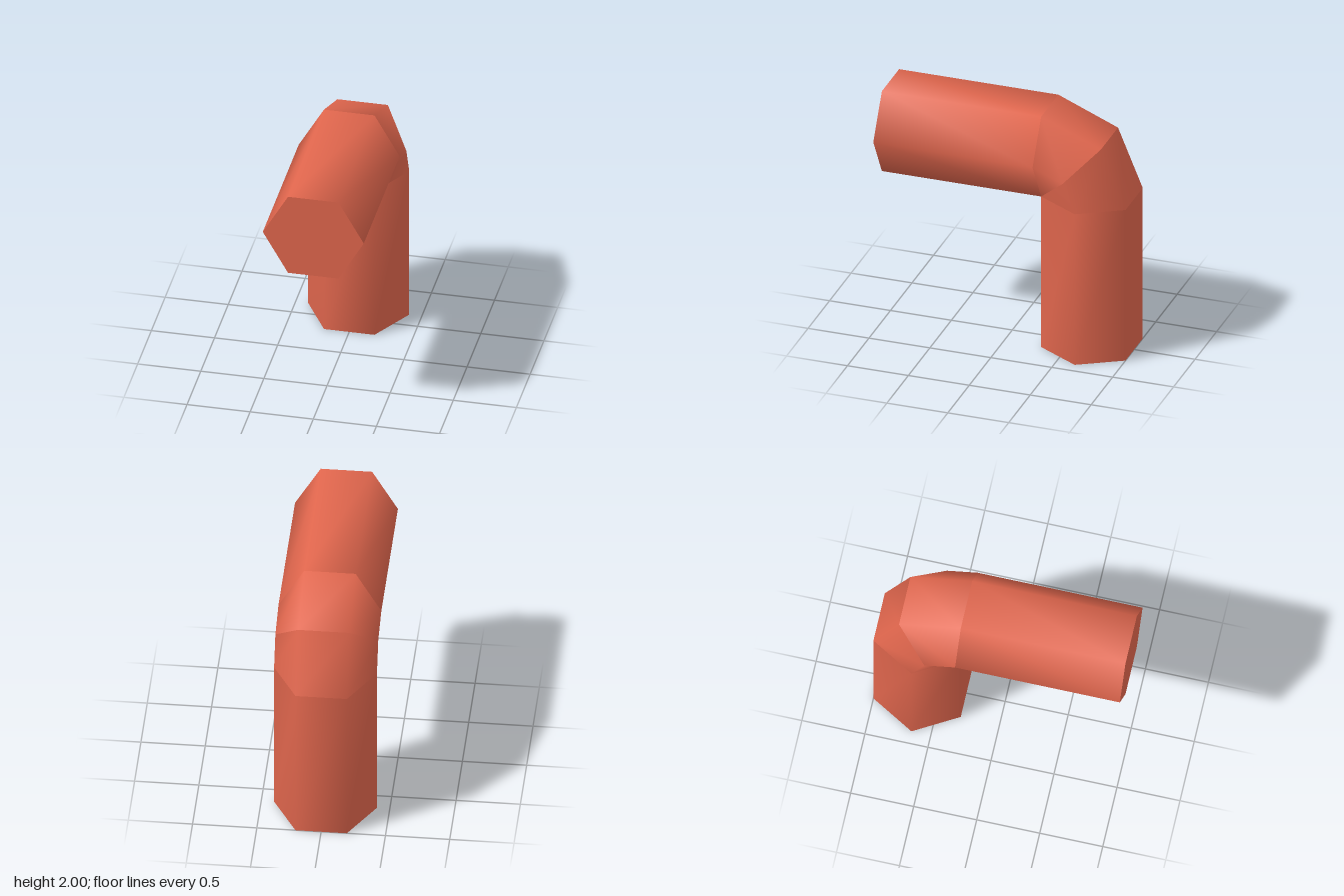
import * as THREE from 'three';

const SIDES = 6, R = 0.4, APOTHEM = R * Math.cos(Math.PI / SIDES);
const PIVOT = 2 - 2 * APOTHEM; // inner corner of the bend: y = PIVOT, z = 1 - PIVOT

// Hexagonal ring turned by angle t about the inner corner, moved by dy, dz
function ring(t, dy = 0, dz = 0) {
  return Array.from({ length: SIDES }, (_, k) => {
    const a = k * Math.PI * 2 / SIDES;
    const d = APOTHEM + R * Math.sin(a);
    return [R * Math.cos(a), PIVOT + d * Math.cos(t) + dy, 1 - PIVOT - d * Math.sin(t) + dz];
  });
}

// Open sleeve between two rings, smooth around its girth
function sleeve(from, to) {
  const index = [];
  for (let k = 0; k < SIDES; k++) {
    const n = (k + 1) % SIDES;
    index.push(k, k + SIDES, n, k + SIDES, n + SIDES, n);
  }
  const geo = new THREE.BufferGeometry();
  geo.setAttribute('position', new THREE.Float32BufferAttribute([...from, ...to].flat(), 3));
  geo.setIndex(index);
  geo.computeVertexNormals();
  return geo;
}

export function createModel() {
  const group = new THREE.Group();
  const material = new THREE.MeshStandardMaterial({ color: 0xe0664d });
  material.name = 'terracotta red';
  const add = (name, geo) => {
    const mesh = new THREE.Mesh(geo, material);
    mesh.name = name;
    group.add(mesh);
    return mesh;
  };

  // Straight arms and the two wedges of the elbow
  const front = ring(0), middle = ring(Math.PI / 4), lower = ring(Math.PI / 2);
  add('horizontalArm', sleeve(ring(0, 0, PIVOT), front));
  add('upperElbow', sleeve(front, middle));
  add('lowerElbow', sleeve(middle, lower));
  add('verticalArm', sleeve(lower, ring(Math.PI / 2, -PIVOT, 0)));

  // Flat end caps
  const cap = new THREE.CircleGeometry(R, SIDES);
  add('frontCap', cap).position.set(0, 2 - APOTHEM, 1);
  const bottom = add('bottomCap', cap);
  bottom.rotation.x = Math.PI / 2;
  bottom.position.set(0, 0, APOTHEM - 1);

  return group;
}
